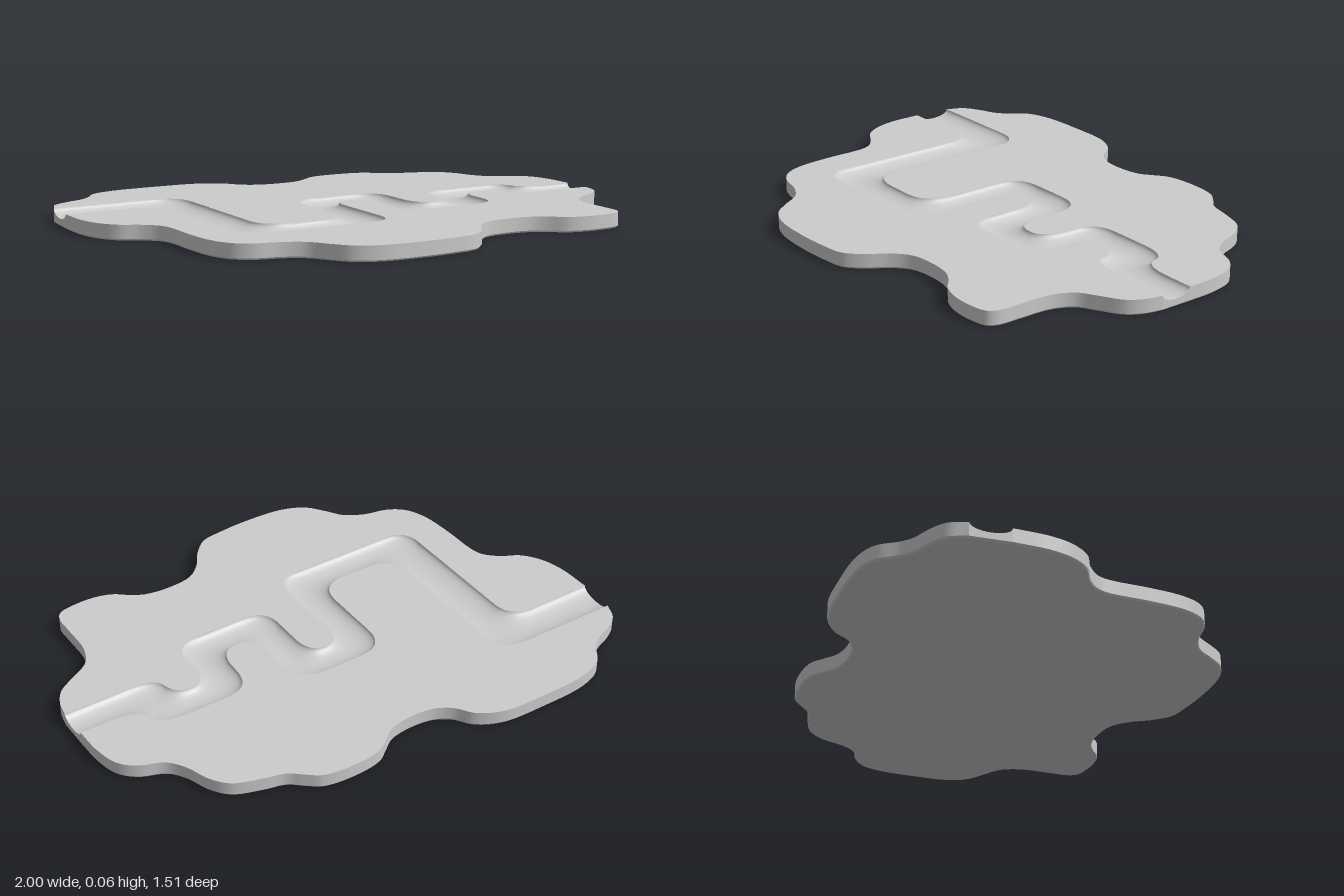
import * as THREE from 'three';

const H = 0.056, DEPTH = 0.027, CHAMFER = 0.006, STEPS = 16;
const v2 = (x, z) => new THREE.Vector2(x, z);
const pairs = (a) => Array.from({ length: a.length / 2 }, (_, i) => v2(a[2 * i], a[2 * i + 1]));

// Smooth curve through [x, z] points
function smooth(list) {
  const pts = pairs(list).map((p) => new THREE.Vector3(p.x, 0, p.y));
  return new THREE.CatmullRomCurve3(pts).getPoints(pts.length * 5).map((p) => v2(p.x, p.z));
}

// Polyline with softly rounded corners, the same number of points for each corner
function rounded(list, radius) {
  const p = pairs(list);
  const out = [p[0]];
  for (let i = 1; i < p.length - 1; i++) {
    const reach = (q) => p[i].clone().lerp(q, Math.min(0.5, radius / p[i].distanceTo(q)));
    const a = reach(p[i - 1]), b = reach(p[i + 1]);
    const curve = new THREE.CubicBezierCurve(a, a.clone().lerp(p[i], 0.68), b.clone().lerp(p[i], 0.68), b);
    out.push(...curve.getPoints(12));
  }
  out.push(p[p.length - 1]);
  return out;
}

// Surface through rows of points
function grid(rows) {
  const n = rows[0].length, pos = [], idx = [];
  rows.forEach((r) => r.forEach((p) => pos.push(p.x, p.y, p.z)));
  for (let j = 0; j < rows.length - 1; j++) {
    for (let i = 0; i < n - 1; i++) {
      const a = j * n + i, b = a + n;
      idx.push(a, b, a + 1, a + 1, b, b + 1);
    }
  }
  const g = new THREE.BufferGeometry();
  g.setAttribute('position', new THREE.Float32BufferAttribute(pos, 3));
  g.setIndex(idx);
  g.computeVertexNormals();
  return g;
}

// Flat upward cap
function topCap(points) {
  const g = new THREE.ShapeGeometry(new THREE.Shape(points.map((p) => v2(p.x, -p.y))));
  return g.rotateX(-Math.PI / 2).translate(0, H, 0);
}

export function createModel() {
  const group = new THREE.Group();
  const material = new THREE.MeshStandardMaterial({ color: 0xcccccc });
  const add = (name, geometry) => {
    const mesh = new THREE.Mesh(geometry, material);
    mesh.name = name;
    group.add(mesh);
  };

  // Wavy outline: back half runs west to east, front half east to west
  const backRim = smooth([
    -0.99, -0.475, -0.96, -0.54, -0.9, -0.58, -0.83, -0.61, -0.79, -0.645, -0.74, -0.71, -0.65, -0.745,
    -0.46, -0.755, -0.29, -0.745, -0.2, -0.7, -0.15, -0.635, -0.09, -0.6, 0, -0.59, 0.09, -0.605,
    0.14, -0.64, 0.19, -0.675, 0.3, -0.69, 0.42, -0.675, 0.47, -0.64, 0.52, -0.6, 0.6, -0.578,
    0.7, -0.54, 0.75, -0.48, 0.785, -0.39, 0.83, -0.33, 0.92, -0.29, 0.97, -0.24, 0.995, -0.15, 1, -0.035,
  ]);
  const frontRim = smooth([
    1, 0.085, 0.985, 0.15, 0.95, 0.205, 0.87, 0.255, 0.81, 0.295, 0.775, 0.37, 0.77, 0.5, 0.767, 0.58,
    0.745, 0.615, 0.68, 0.63, 0.6, 0.63, 0.53, 0.61, 0.47, 0.565, 0.42, 0.54, 0.33, 0.53, 0.23, 0.545,
    0.17, 0.595, 0.12, 0.67, 0.06, 0.725, -0.03, 0.742, -0.16, 0.75, -0.31, 0.74, -0.4, 0.7, -0.45, 0.64,
    -0.5, 0.57, -0.57, 0.53, -0.67, 0.505, -0.73, 0.46, -0.765, 0.38, -0.78, 0.25, -0.785, 0.1,
    -0.8, 0.05, -0.85, 0, -0.92, -0.04, -0.97, -0.11, -0.995, -0.2, -1, -0.33,
  ]);

  // Two edges of the winding channel, west to east
  const backEdge = rounded([
    -0.99, -0.475, -0.49, -0.475, -0.49, 0.225, -0.155, 0.225, -0.155, -0.215, 0.22, -0.215,
    0.22, 0.09, 0.375, 0.09, 0.375, -0.15, 0.75, -0.15, 0.775, -0.035, 1, -0.035,
  ], 0.115);
  const frontEdge = rounded([
    -1, -0.33, -0.64, -0.33, -0.64, 0.35, -0.035, 0.35, -0.035, -0.097, 0.1, -0.097,
    0.1, 0.21, 0.495, 0.21, 0.495, -0.033, 0.62, -0.033, 0.645, 0.085, 1, 0.085,
  ], 0.1);

  // Flat tops on either side of the channel
  add('backTop', topCap([...backRim, ...backEdge.slice(1, -1).reverse()]));
  add('frontTop', topCap([...frontRim, ...frontEdge.slice(1, -1)]));

  // Channel with a half-ellipse cross-section
  const rows = [];
  for (let j = 0; j <= STEPS; j++) {
    const a = (Math.PI * j) / STEPS, t = (1 - Math.cos(a)) / 2;
    rows.push(backEdge.map((p, i) => {
      const q = p.clone().lerp(frontEdge[i], t);
      return new THREE.Vector3(q.x, H - DEPTH * Math.sin(a), q.y);
    }));
  }
  add('channel', grid(rows));

  // Side wall, dipping where the channel runs out at both ends
  const raise = (p) => new THREE.Vector3(p.x, H, p.y);
  const east = rows.map((r) => r[r.length - 1]);
  const west = rows.map((r) => r[0]).reverse();
  const rim = [...backRim.map(raise), ...east.slice(1, -1), ...frontRim.map(raise), ...west.slice(1)];
  const foot = rim.map((p) => new THREE.Vector3(p.x, CHAMFER, p.z));
  const base = rim.map((p) => new THREE.Vector3(p.x * 0.993, 0, p.z * 0.993));
  add('sideWall', grid([foot, rim]));
  add('bottomChamfer', grid([base, foot]));

  // Underside
  const under = new THREE.ShapeGeometry(new THREE.Shape(base.slice(0, -1).map((p) => v2(p.x, p.z))));
  add('underside', under.rotateX(Math.PI / 2));
  return group;
}
